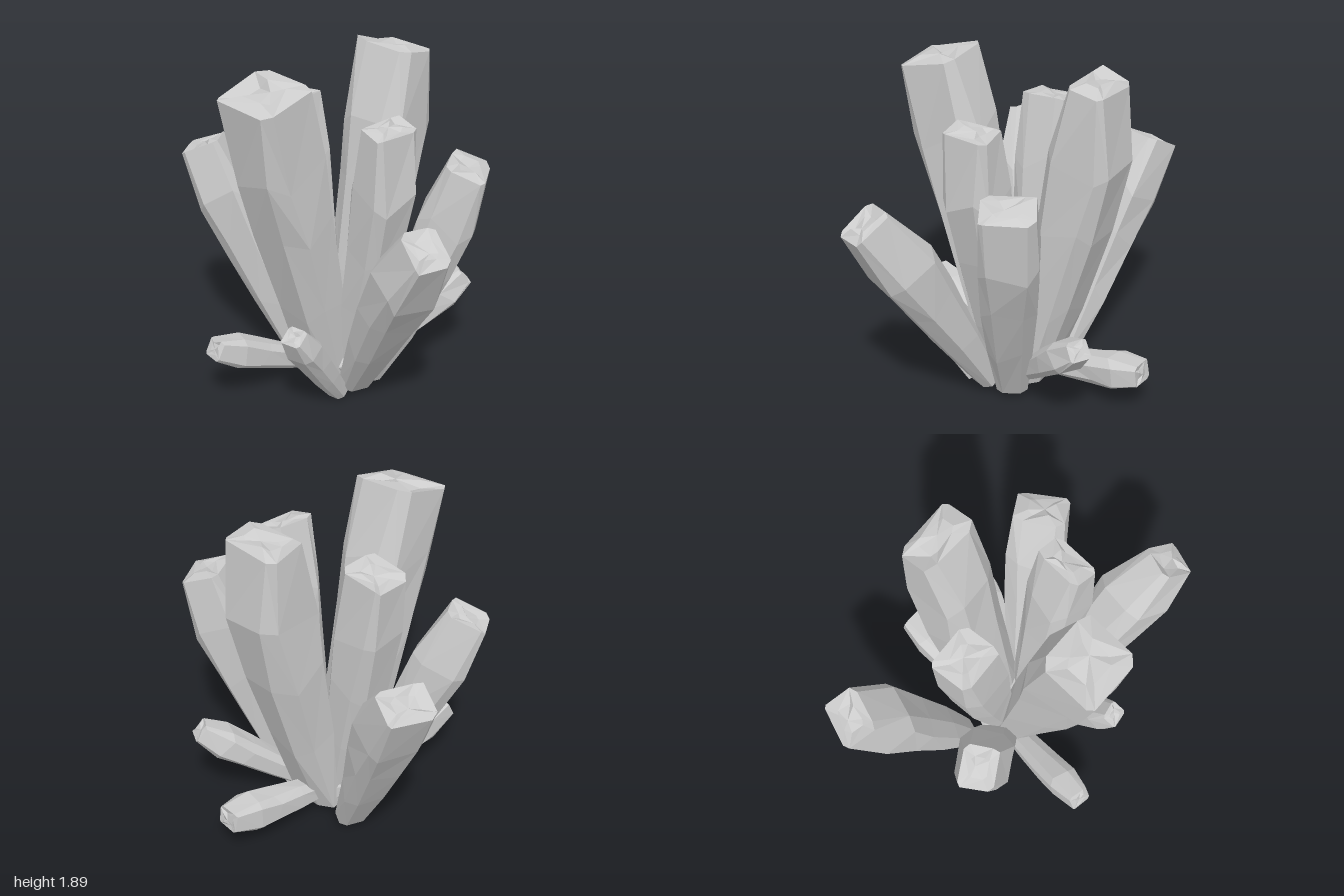
import * as THREE from 'three';

const material = new THREE.MeshStandardMaterial({ color: 0xcccccc, flatShading: true });

// Irregular chamfered outline of a crystal: x across, y outward
const OUTLINE = [
  [1, 0.55], [0.6, 1], [-0.5, 1], [-1, 0.5],
  [-1, -0.6], [-0.42, -1], [0.48, -1], [1, -0.5],
];
const N = OUTLINE.length;

// The outline with its chamfers narrowed by q, so that it becomes squarer
const squarer = (q) => OUTLINE.map((corner) => corner.map((c) => (Math.abs(c) < 1 ? c * q : c)));

function seeded(seed) {
  let s = seed * 7919 + 17;
  return () => (s = (s * 16807) % 2147483647) / 2147483647 - 0.5;
}

// A prism that swells from its root to a shoulder, then ends in a broken top.
// w, h: half width and half depth at the shoulder; root, rootH: share kept at the root
function crystal(name, seed, base, tip, w, h, { root = 0.6, rootH = 0.4, tipW = 0.88, tipH = 0.72, bulge = 0.02 } = {}) {
  const rand = seeded(seed);
  const a = new THREE.Vector3(...base);
  const axis = new THREE.Vector3(...tip).sub(a);
  const length = axis.length();
  const d = axis.clone().normalize();
  const v = new THREE.Vector3(axis.x, 0, axis.z);
  v.addScaledVector(d, -v.dot(d)).normalize();
  const u = new THREE.Vector3().crossVectors(v, d);

  const point = (x, y, t, lift = 0) => a.clone()
    .addScaledVector(d, t * length + lift).addScaledVector(u, x).addScaledVector(v, y);

  // Each station: place along the axis, width, depth, outward shift, squareness
  const stations = [
    [0, root, rootH, 0, 1],
    [0.28, root + (1 - root) * 0.5, rootH + (1 - rootH) * 0.48, bulge * 0.5, 1],
    [0.55, root + (1 - root) * 0.85, 0.9, bulge, 1.05],
    [0.77, 1, 1, bulge, 1.2],
    [1, tipW, tipH, 0, 1.45],
  ];
  const rings = stations.map(([t, kw, kh, shift, q], k) => squarer(q).map(([x, y]) => {
    const wobble = k === 0 || k === 4 ? 0.06 : 0.13;
    const along = k === 0 ? 0 : k === 4 ? rand() * 0.15 * h : rand() * 0.08 * length;
    return point(x * w * kw * (1 + rand() * wobble), y * h * kh * (1 + rand() * wobble) + shift, t, along);
  }));

  const pos = [];
  const tri = (...pts) => pts.forEach((p) => pos.push(p.x, p.y, p.z));
  const bridge = (lo, hi) => {
    for (let i = 0; i < N; i++) {
      const j = (i + 1) % N;
      if (i % 2) {
        tri(lo[i], lo[j], hi[j]);
        tri(lo[i], hi[j], hi[i]);
      } else {
        tri(lo[i], lo[j], hi[i]);
        tri(lo[j], hi[j], hi[i]);
      }
    }
  };
  for (let k = 0; k < rings.length - 1; k++) bridge(rings[k], rings[k + 1]);

  // Broken top: a jagged inner ring around an off-centre point
  const inner = squarer(1.3).map(([x, y]) => point(x * w * tipW * 0.5, y * h * tipH * 0.5, 1, rand() * 0.25 * h));
  bridge(rings[rings.length - 1], inner);
  const peak = point(rand() * 0.3 * w, rand() * 0.3 * h, 1, rand() * 0.1 * h);
  // Blunt root
  const foot = point(0, 0, 0, -0.1 * h);
  for (let i = 0; i < N; i++) {
    const j = (i + 1) % N;
    tri(inner[i], inner[j], peak);
    tri(rings[0][j], rings[0][i], foot);
  }

  const geometry = new THREE.BufferGeometry();
  geometry.setAttribute('position', new THREE.Float32BufferAttribute(pos, 3));
  geometry.computeVertexNormals();
  const mesh = new THREE.Mesh(geometry, material);
  mesh.name = name;
  return mesh;
}

export function createModel() {
  const group = new THREE.Group();
  group.name = 'crystalCluster';

  // Two tallest crystals, left and right
  const broad = { root: 0.85, rootH: 0.42, tipW: 0.97 };
  group.add(
    crystal('tallRightCrystal', 1, [-0.1, 0.07, -0.035], [-0.53, 1.845, -0.035], 0.19, 0.205, { ...broad, tipH: 0.85, bulge: -0.005 }),
    crystal('tallLeftCrystal', 2, [0.08, 0.07, -0.03], [0.455, 1.86, -0.03], 0.19, 0.2, { ...broad, tipH: 0.52, bulge: 0.035 }),
  );

  // Upright crystals in front and behind
  group.add(
    crystal('frontUprightCrystal', 3, [-0.03, 0.06, 0.1], [-0.055, 1.63, 0.375], 0.15, 0.145, { tipW: 0.92, tipH: 0.55, bulge: 0.03 }),
    crystal('backUprightCrystal', 4, [0.0, 0.06, -0.1], [-0.01, 1.62, -0.355], 0.15, 0.16, { tipW: 0.8, tipH: 0.85, bulge: 0.01 }),
  );

  // Leaning crystals at the four corners
  group.add(
    crystal('frontRightCrystal', 5, [-0.1, 0.08, 0.2], [-0.37, 1.235, 0.885], 0.165, 0.16, { root: 0.55, tipW: 0.6, bulge: -0.02 }),
    crystal('frontLeftCrystal', 6, [0.06, 0.06, 0.18], [0.31, 1.375, 0.615], 0.16, 0.15, { root: 0.55, tipW: 0.88 }),
    crystal('backLeftCrystal', 7, [0.09, 0.07, -0.31], [0.32, 1.25, -0.895], 0.165, 0.155, { root: 0.55, tipW: 0.82, tipH: 0.68, bulge: -0.03 }),
    crystal('backRightCrystal', 8, [-0.1, 0.08, -0.2], [-0.38, 1.36, -0.68], 0.14, 0.15, { root: 0.55, tipW: 0.66, tipH: 0.75, bulge: 0 }),
  );

  // Small low shoots
  const shoot = { root: 0.65, rootH: 0.6, tipW: 0.7, tipH: 0.65, bulge: 0 };
  group.add(
    crystal('leftShoot', 9, [0.1, 0.14, -0.06], [0.76, 0.255, -0.03], 0.1, 0.09, shoot),
    crystal('frontLeftShoot', 10, [0.1, 0.13, 0.1], [0.595, 0.555, 0.385], 0.1, 0.085, { ...shoot, tipW: 0.6 }),
    crystal('backRightShoot', 11, [-0.12, 0.1, -0.13], [-0.74, 0.385, -0.25], 0.085, 0.085, shoot),
    crystal('frontRightShoot', 12, [-0.2, 0.04, 0.155], [-0.6, 0.58, 0.21], 0.085, 0.08, shoot),
  );

  // Faceted core joining the roots
  const core = new THREE.Mesh(new THREE.IcosahedronGeometry(0.22, 1), material);
  core.name = 'core';
  core.scale.set(0.9, 0.55, 1.1);
  core.position.set(0, 0.16, 0);
  group.add(core);

  return group;
}
